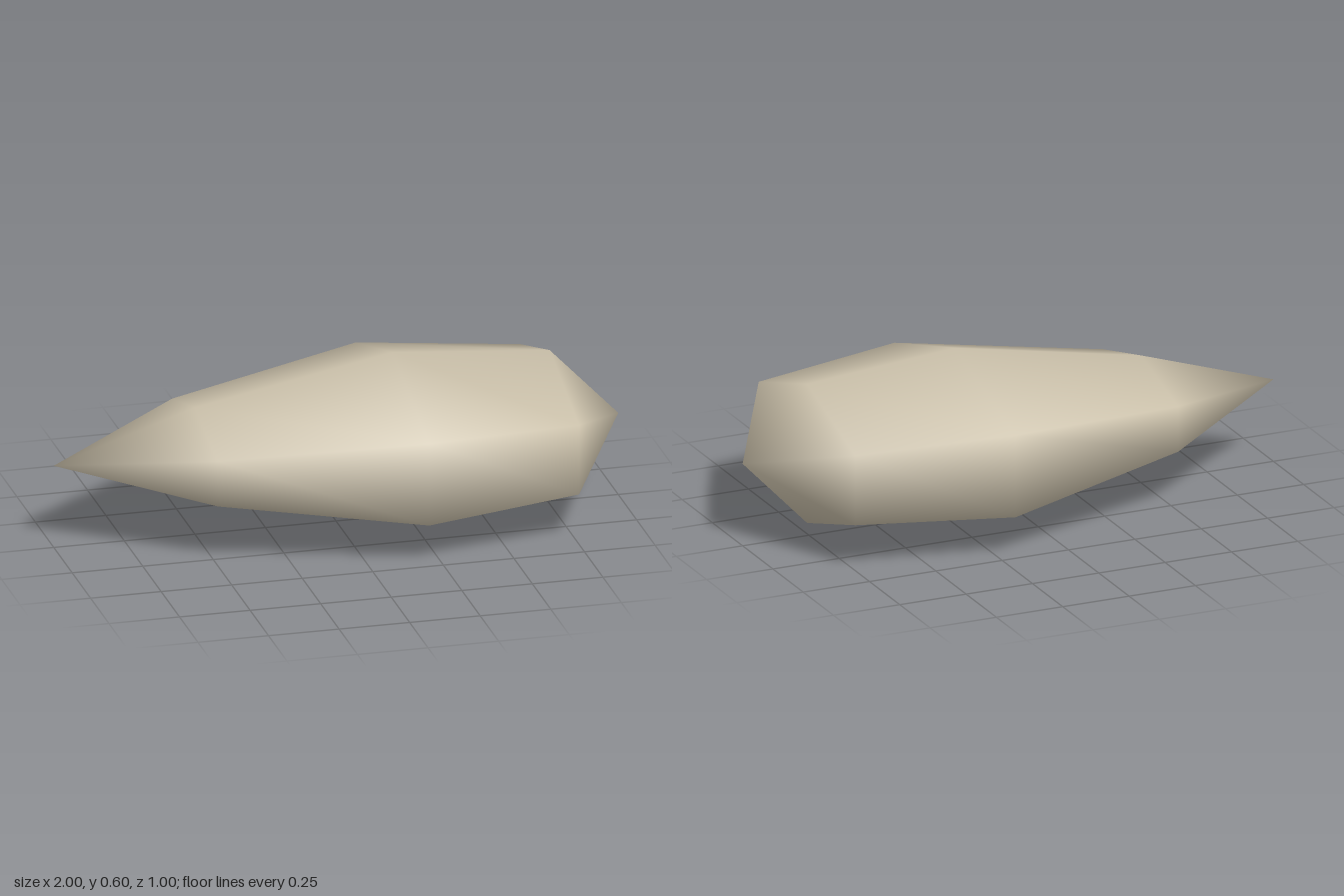
import * as THREE from 'three';

// Six-sided cross-sections along x: [x, half height, half width]
const RINGS = [
  [-0.5, 0.165, 0.31],
  [0.2, 0.3, 0.5],
  [0.757, 0.254, 0.4],
];
const SIDES = 6;
const MID_Y = 0.3;

function hullGeometry() {
  const positions = [-1, MID_Y, 0];
  for (const [x, halfHeight, halfWidth] of RINGS) {
    for (let i = 0; i < SIDES; i++) {
      const a = (i / SIDES) * Math.PI * 2;
      const across = Math.sin(a) / Math.sin(Math.PI / 3);
      positions.push(x, MID_Y + Math.cos(a) * halfHeight, across * halfWidth);
    }
  }
  positions.push(1, MID_Y, 0);

  const last = 1 + RINGS.length * SIDES;
  const id = (ring, i) => 1 + ring * SIDES + (i % SIDES);
  const index = [];
  for (let i = 0; i < SIDES; i++) {
    // Long pointed end
    index.push(0, id(0, i + 1), id(0, i));
    // Bands between the cross-sections
    for (let r = 0; r < RINGS.length - 1; r++) {
      const a = id(r, i), b = id(r, i + 1), c = id(r + 1, i + 1), d = id(r + 1, i);
      index.push(a, c, d, a, b, c);
    }
    // Short blunt end
    index.push(last, id(RINGS.length - 1, i), id(RINGS.length - 1, i + 1));
  }

  const geometry = new THREE.BufferGeometry();
  geometry.setAttribute('position', new THREE.Float32BufferAttribute(positions, 3));
  geometry.setIndex(index);
  geometry.computeVertexNormals(); // shared corners give smooth shading
  return geometry;
}

export function createModel() {
  const stone = new THREE.MeshStandardMaterial({ color: 0xc8bea8 });
  stone.name = 'paleStone';

  const body = new THREE.Mesh(hullGeometry(), stone);
  body.name = 'taperedBody';

  const group = new THREE.Group();
  group.name = 'taperedStone';
  group.add(body);
  return group;
}
